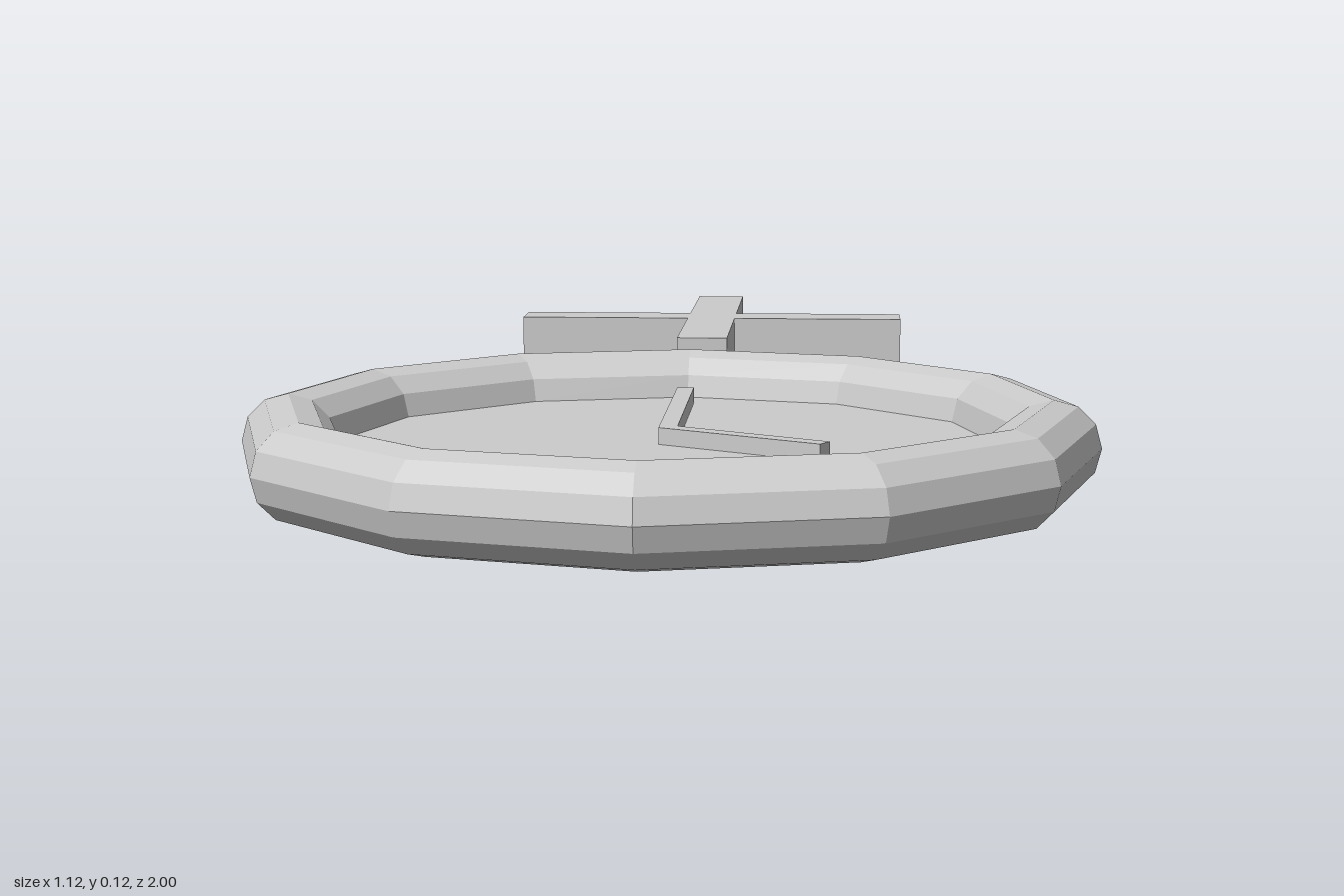
import * as THREE from 'three';

const MID = 0.0625; // height of the shared middle plane

export function createModel() {
  const group = new THREE.Group();
  const grey = new THREE.MeshStandardMaterial({ color: 0xcccccc, flatShading: true });
  const thin = new THREE.MeshStandardMaterial({ color: 0xcccccc, side: THREE.DoubleSide });

  // Lays a geometry drawn in XY flat on the ground plane, its +z turned up
  const addFlat = (name, geometry, y, z, material = grey) => {
    const mesh = new THREE.Mesh(geometry.rotateX(-Math.PI / 2), material);
    mesh.name = name;
    mesh.position.set(0, y, z);
    group.add(mesh);
  };

  const extrude = (points, depth) => new THREE.ExtrudeGeometry(
    new THREE.Shape(points.map(([x, y]) => new THREE.Vector2(x, y))),
    { depth, bevelEnabled: false });

  // Twelve-sided rim and the face inside it
  const faceZ = 0.443;
  addFlat('rim', new THREE.TorusGeometry(0.495, MID, 12, 12), MID, faceZ);
  addFlat('face', new THREE.CircleGeometry(0.48, 12), MID, faceZ, thin);

  // Both clock hands as one bent bar
  addFlat('hands', extrude([
    [-0.012, 0], [0.198, -0.121], [0.21, -0.1], [0.012, 0.015],
    [0.012, 0.375], [-0.012, 0.375],
  ], 0.022), MID, faceZ);

  // Plus sign behind the clock: one arm outline turned four times
  const w = 0.04, arm = 0.322, cross = [];
  for (let i = 0; i < 4; i++) {
    const c = Math.round(Math.cos(i * Math.PI / 2)), s = Math.round(Math.sin(i * Math.PI / 2));
    for (const [x, y] of [[arm, -w], [arm, w], [w, w]]) cross.push([x * c - y * s, x * s + y * c]);
  }
  addFlat('plusSign', extrude(cross, 2 * w), MID + 0.003 - w, -0.678);

  return group;
}
